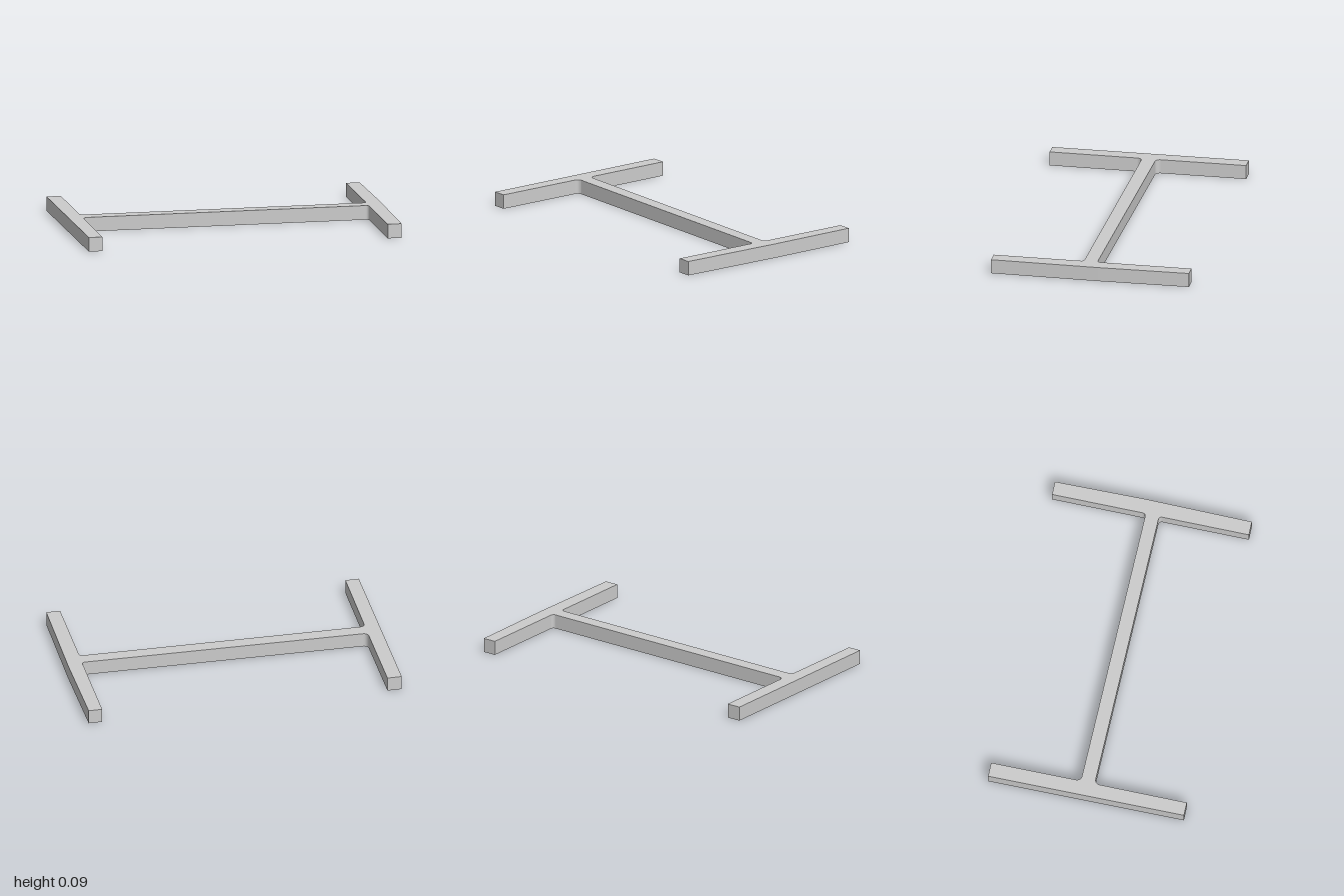
import * as THREE from 'three';

// Outline corners as [x, z, fillet radius], slightly skewed H plan
const OUTLINE = [
  [-1, 0.616, 0], [-0.914, 0.616, 0],
  [-0.91, 0.029, 0.03], [0.904, 0.056, 0.02],
  [0.901, 0.628, 0], [0.989, 0.628, 0], [1, -0.05, 0],
  [0.996, -0.626, 0], [0.91, -0.626, 0],
  [0.907, -0.029, 0.02], [-0.908, -0.059, 0.03],
  [-0.907, -0.63, 0], [-0.998, -0.63, 0],
];
const HEIGHT = 0.09;

// Polygon whose inner corners are rounded
function filletedShape(corners) {
  const shape = new THREE.Shape();
  const pts = corners.map(([x, z]) => new THREE.Vector2(x, -z));
  const n = pts.length;
  corners.forEach(([, , r], i) => {
    const p = pts[i];
    const toward = (q) => q.clone().sub(p).setLength(r).add(p);
    const a = r ? toward(pts[(i + n - 1) % n]) : p;
    if (i === 0) shape.moveTo(a.x, a.y);
    else shape.lineTo(a.x, a.y);
    if (r) {
      const b = toward(pts[(i + 1) % n]);
      const k = 0.55; // circular-arc handle length
      const c1 = a.clone().lerp(p, k), c2 = b.clone().lerp(p, k);
      shape.bezierCurveTo(c1.x, c1.y, c2.x, c2.y, b.x, b.y);
    }
  });
  shape.closePath();
  return shape;
}

export function createModel() {
  const group = new THREE.Group();
  group.name = 'beamFrame';

  // Two end bars joined by a long crossbar, one continuous solid
  const geometry = new THREE.ExtrudeGeometry(filletedShape(OUTLINE), {
    depth: HEIGHT, bevelEnabled: false, curveSegments: 6,
  });
  geometry.rotateX(-Math.PI / 2);
  const beam = new THREE.Mesh(geometry, new THREE.MeshStandardMaterial({ color: 0xcccccc }));
  beam.name = 'crossbarWithEndBars';
  group.add(beam);
  return group;
}
